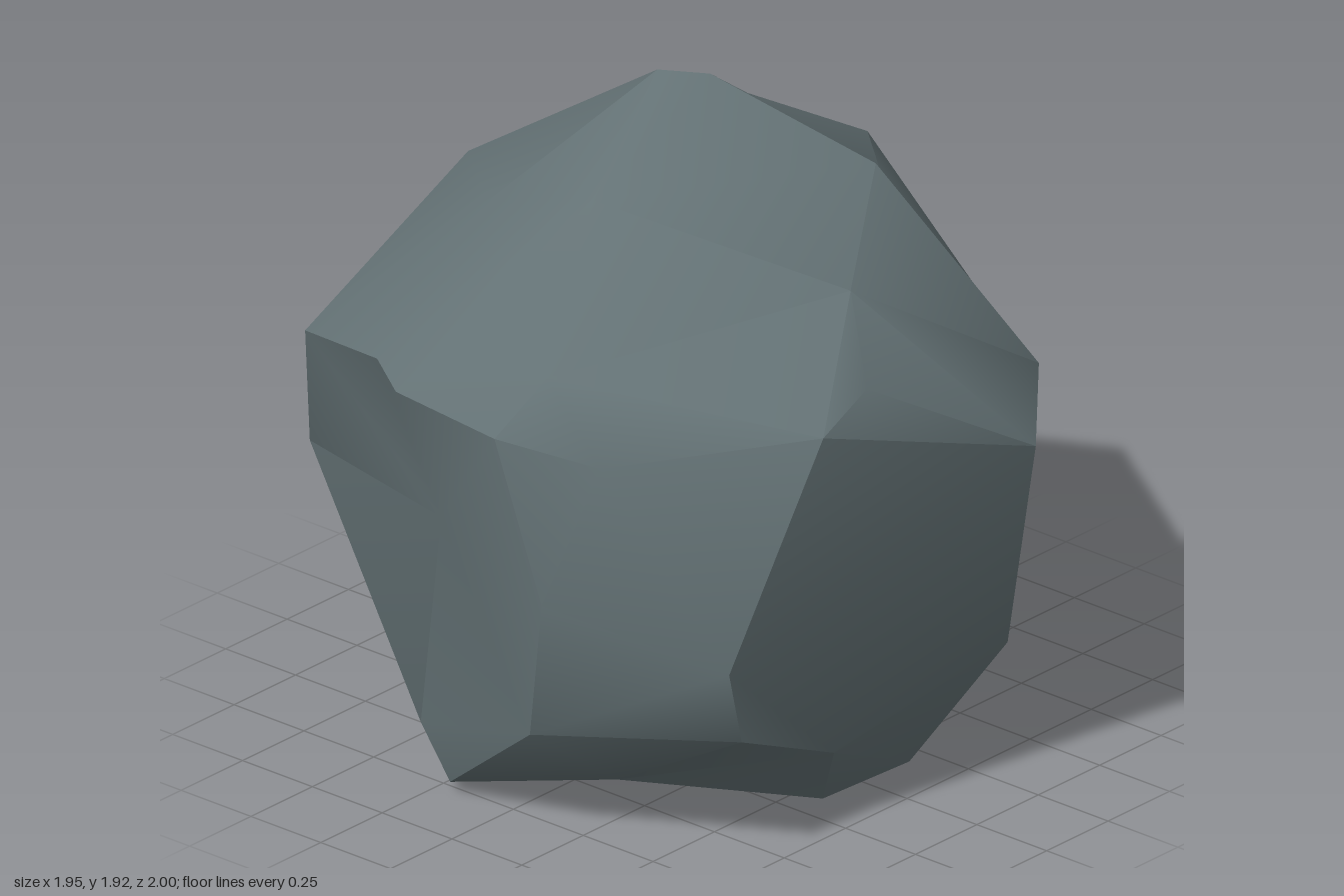
import * as THREE from 'three';
import { ConvexGeometry } from 'three/addons/geometries/ConvexGeometry.js';
import { toCreasedNormals } from 'three/addons/utils/BufferGeometryUtils.js';

const CENTER = new THREE.Vector3(0, 0.95, 0);

// Chiselled corners of the boulder, ring by ring
const crown = [
  [-0.05, 1.92, -0.1], [0.04, 1.91, 0.01], [0.18, 1.74, 0.48], [-0.45, 1.71, 0.02],
  [0.43, 1.65, -0.2], [-0.07, 1.48, -0.76], [-0.15, 1.54, 0.68], [0.5, 1.51, 0.22],
  [-0.4, 1.56, -0.4], [0.35, 1.5, -0.5],
];
const shoulder = [
  [0.885, 1.385, -0.17], [0.82, 1.23, -0.59], [0.38, 0.88, -0.86], [-0.62, 1.11, -0.86],
  [0.4, 1.15, -0.79], [-0.85, 1.25, -0.4], [-0.91, 1.21, -0.28], [-0.975, 1.22, 0.13],
  [-0.84, 1.375, 0.2], [-0.85, 1.17, 0.4], [-0.5, 1.29, 0.89], [-0.3, 1.36, 0.87],
  [0.24, 1.04, 1.0], [0.48, 1.14, 0.8], [0.885, 1.12, -0.13], [0.7, 1.16, 0.38],
];
const waist = [
  [0.97, 0.67, 0.12], [0.81, 0.71, 0.47], [0.67, 0.53, -0.69], [-0.51, 0.72, -0.94],
  [-0.85, 0.85, -0.17], [-0.965, 0.77, 0.29], [-0.69, 0.6, 0.72],
];
const foot = [
  [0.87, 0.34, -0.14], [0.33, 0.37, 0.82], [0.19, 0.4, -1.0], [0.38, 0.35, -0.86],
  [-0.91, 0.34, 0.2], [-0.82, 0.2, -0.27], [-0.65, 0.39, 0.73], [-0.28, 0.23, 0.735],
];
const base = [
  [0.52, 0.03, -0.1], [0.52, 0.03, 0.1], [0.33, 0.0, -0.35], [0.18, 0.0, 0.6],
  [-0.15, 0.0, 0.58], [-0.78, 0.03, -0.2], [-0.44, 0.01, 0.1], [-0.16, 0.0, -0.54],
];

// Triangulate the corners by direction, then move each to its true distance,
// so that shallow hollows survive between the ridges
function boulderGeometry(corners) {
  const points = corners.map((c) => new THREE.Vector3(...c));
  const directions = points.map((p) => p.clone().sub(CENTER).normalize());
  const hull = new ConvexGeometry(directions);
  const position = hull.attributes.position;
  const v = new THREE.Vector3();
  for (let i = 0; i < position.count; i++) {
    v.fromBufferAttribute(position, i);
    let nearest = 0;
    directions.forEach((d, k) => {
      if (d.distanceToSquared(v) < directions[nearest].distanceToSquared(v)) nearest = k;
    });
    position.setXYZ(i, ...points[nearest].toArray());
  }
  // Soft faces with the sharpest ridges kept
  return toCreasedNormals(hull, 0.8);
}

export function createModel() {
  const group = new THREE.Group();
  group.name = 'boulder';
  const stone = new THREE.MeshStandardMaterial({ color: 0x637174 });
  stone.name = 'blue grey stone';
  const rock = new THREE.Mesh(
    boulderGeometry([...crown, ...shoulder, ...waist, ...foot, ...base]), stone);
  rock.name = 'rock';
  group.add(rock);
  return group;
}
